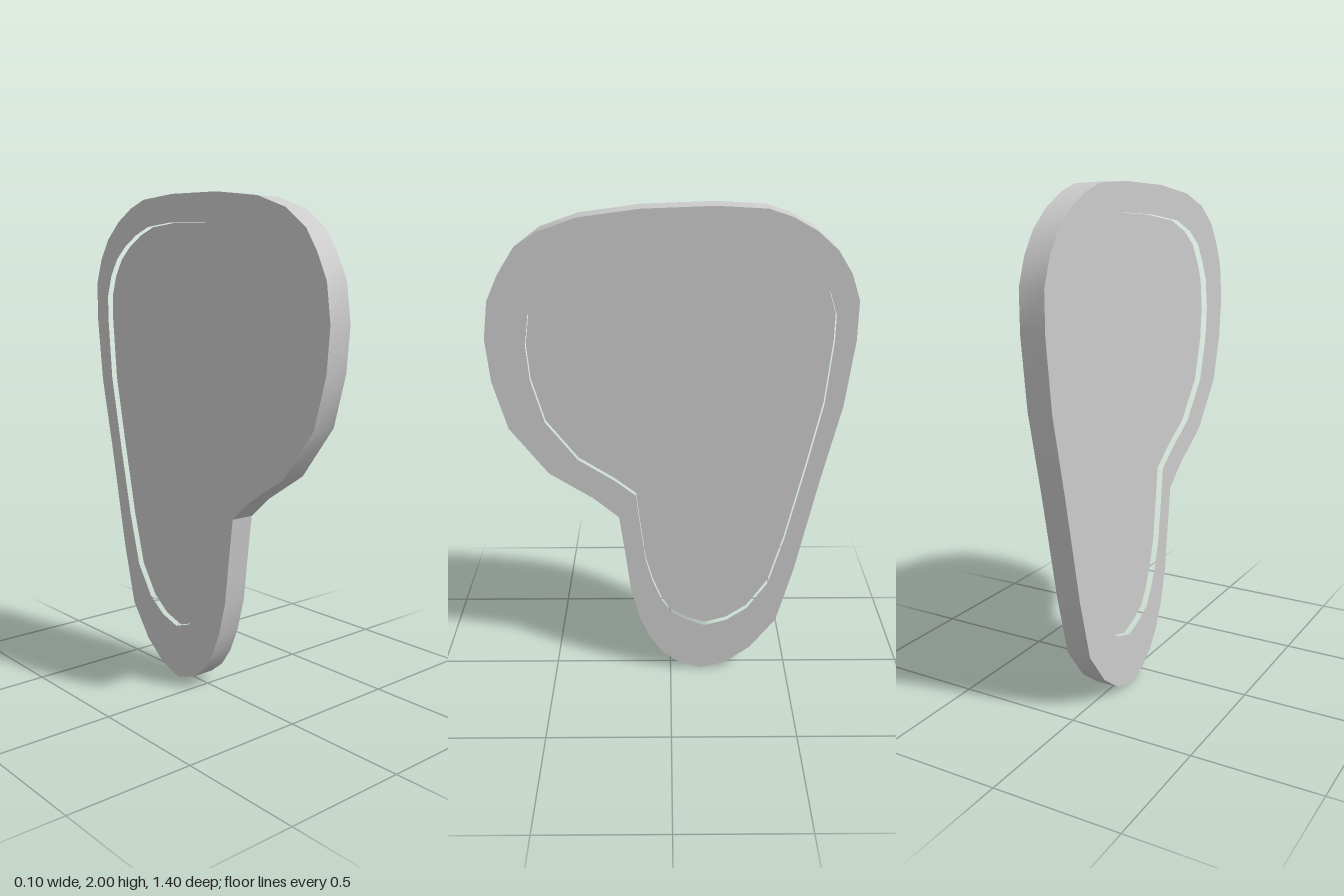
import * as THREE from 'three';
import { toCreasedNormals } from 'three/addons/utils/BufferGeometryUtils.js';

// Outlines as [z, y] pairs, starting at the top and running towards the back
const OUTER = [
  [-0.16, 2], [-0.35, 1.99], [-0.44, 1.96], [-0.53, 1.91], [-0.61, 1.84], [-0.665, 1.755],
  [-0.7, 1.655], [-0.7, 1.5], [-0.67, 1.235], [-0.6, 0.92], [-0.515, 0.5], [-0.45, 0.25],
  [-0.345, 0.11], [-0.24, 0.03], [-0.135, 0], [-0.035, 0.03], [0.035, 0.085], [0.087, 0.16],
  [0.13, 0.26], [0.167, 0.4], [0.185, 0.555], [0.21, 0.75], [0.31, 0.837], [0.485, 0.95],
  [0.633, 1.145], [0.686, 1.34], [0.7, 1.51], [0.68, 1.655], [0.633, 1.755], [0.58, 1.835],
  [0.48, 1.91], [0.336, 1.96], [0.11, 1.99],
];
const INNER = [
  [-0.18, 1.89], [-0.32, 1.88], [-0.405, 1.85], [-0.485, 1.805], [-0.545, 1.755], [-0.59, 1.685],
  [-0.618, 1.6], [-0.618, 1.5], [-0.596, 1.245], [-0.54, 0.97], [-0.47, 0.65], [-0.41, 0.435],
  [-0.325, 0.31], [-0.24, 0.25], [-0.146, 0.222], [-0.066, 0.25], [0, 0.29], [0.04, 0.355],
  [0.077, 0.45], [0.103, 0.545], [0.125, 0.715], [0.14, 0.85], [0.225, 0.917], [0.368, 1.01],
  [0.49, 1.17], [0.538, 1.345], [0.548, 1.48], [0.532, 1.6], [0.495, 1.68], [0.447, 1.755],
  [0.368, 1.81], [0.25, 1.855], [0.04, 1.88],
];
const RIM_THICKNESS = 0.1;
const PANEL_THICKNESS = 0.05;

const toPoints = (outline) => outline.map(([z, y]) => new THREE.Vector2(-z, y));

// Extrude a profile sideways, centred on x = 0
function slab(name, shape, depth, material) {
  const geometry = new THREE.ExtrudeGeometry(shape, { depth, bevelEnabled: false });
  geometry.translate(0, 0, -depth / 2).rotateY(Math.PI / 2);
  const mesh = new THREE.Mesh(toCreasedNormals(geometry, 0.7), material);
  mesh.name = name;
  return mesh;
}

export function createModel() {
  const group = new THREE.Group();
  group.name = 'recessedPlate';
  const material = new THREE.MeshStandardMaterial({ color: 0xcccccc });

  // Raised border around the plate
  const rimShape = new THREE.Shape(toPoints(OUTER));
  rimShape.holes.push(new THREE.Path(toPoints(INNER)));
  group.add(slab('rim', rimShape, RIM_THICKNESS, material));

  // Thinner panel, recessed on both sides
  group.add(slab('panel', new THREE.Shape(toPoints(INNER)), PANEL_THICKNESS, material));

  return group;
}
